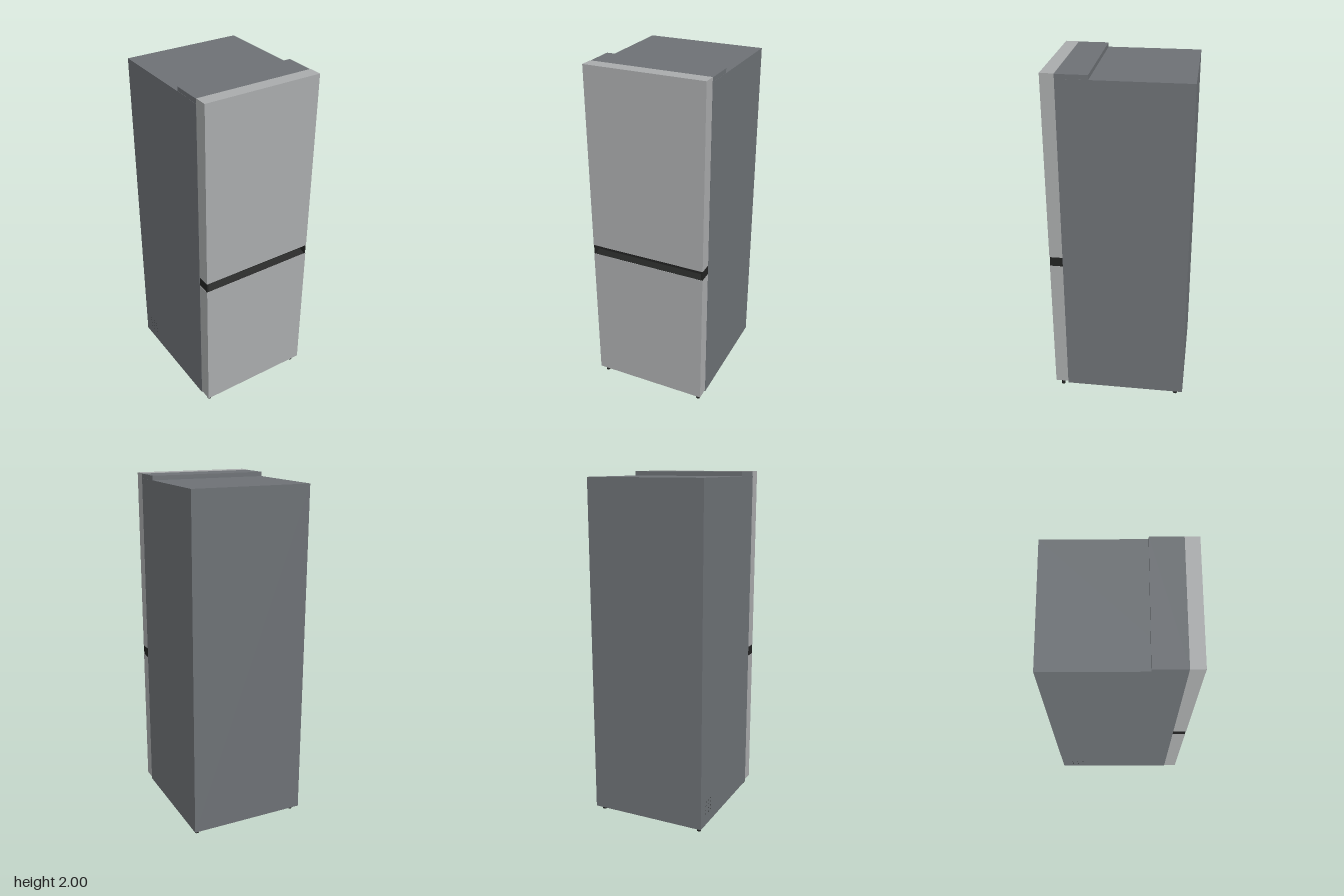
import * as THREE from 'three';

export function createModel() {
  const group = new THREE.Group();
  const material = (name, color) => {
    const m = new THREE.MeshStandardMaterial({ color });
    m.name = name;
    return m;
  };
  const grey = material('cabinet grey', 0x6d7175);
  const silver = material('door silver', 0xa9abac);
  const black = material('trim black', 0x222322);

  const add = (name, geometry, mat, x = 0, y = 0, z = 0) => {
    const mesh = new THREE.Mesh(geometry, mat);
    mesh.name = name;
    mesh.position.set(x, y, z);
    group.add(mesh);
    return mesh;
  };
  // Box given by its full width and its y and z limits
  const block = (name, mat, width, y0, y1, z0, z1, x = 0) =>
    add(name, new THREE.BoxGeometry(width, y1 - y0, z1 - z0), mat, x, (y0 + y1) / 2, (z0 + z1) / 2);

  // Cabinet and hinge cover
  block('cabinet', grey, 0.69, 0.03, 1.973, -0.394, 0.318);
  block('hingeCover', grey, 0.688, 1.973, 1.998, 0.144, 0.318);

  // Doors
  block('upperDoor', silver, 0.688, 0.935, 2, 0.318, 0.394);
  block('lowerDoor', silver, 0.688, 0.042, 0.878, 0.318, 0.394);

  // Recessed grip channel between the doors, with a sloping floor
  const profile = new THREE.Shape([
    [0.318, 0.878], [0.392, 0.878], [0.35, 0.89], [0.35, 0.935], [0.318, 0.935],
  ].map(([z, y]) => new THREE.Vector2(-z, y)));
  const channel = new THREE.ExtrudeGeometry(profile, { depth: 0.672, bevelEnabled: false });
  channel.translate(0, 0, -0.336).rotateY(Math.PI / 2);
  add('gripChannel', channel, black);
  for (const side of [-1, 1]) {
    block('gripEndCap', black, 0.008, 0.878, 0.935, 0.318, 0.392, side * 0.339);
  }

  // Levelling feet
  const foot = new THREE.CylinderGeometry(0.012, 0.012, 1, 16);
  for (const x of [-0.315, 0.315]) {
    for (const [z, height] of [[0.355, 0.042], [-0.35, 0.03]]) {
      add('foot', foot, black, x, height / 2, z).scale.y = height;
    }
  }

  // Small vent holes low on the right flank, near the back
  const hole = new THREE.CircleGeometry(0.004, 10).rotateY(-Math.PI / 2);
  for (let row = 0; row < 4; row++) {
    for (let column = 0; column < 3; column++) {
      add('ventHole', hole, black, -0.346, 0.1 + row * 0.024, -0.325 + column * 0.035);
    }
  }
  return group;
}
